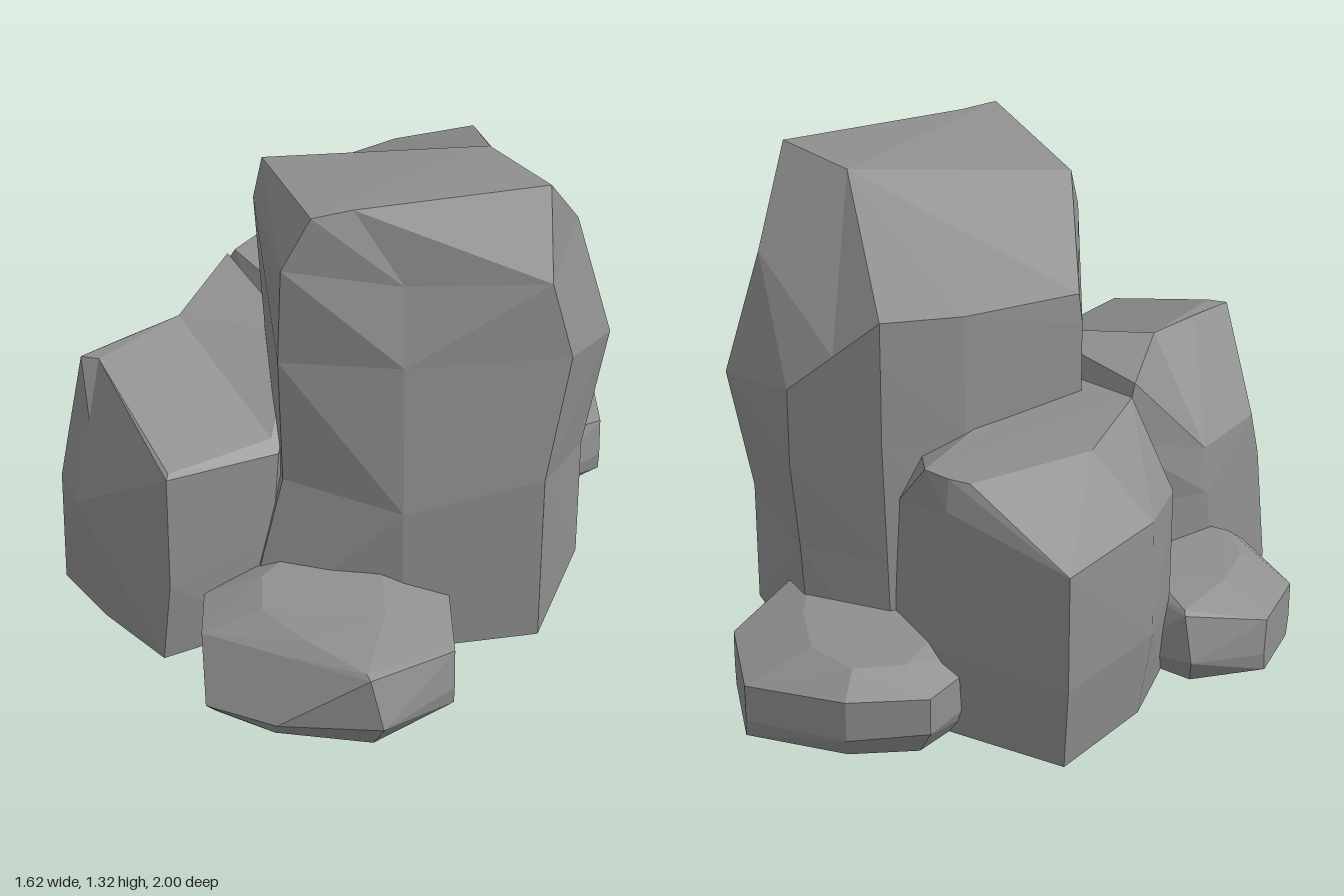
import * as THREE from 'three';

const stone = new THREE.MeshStandardMaterial({ color: 0x8f8f8f, flatShading: true, side: THREE.DoubleSide });

// Faceted rock shell, open underneath, lofted through rings of [x, y, z] corners, bottom ring first.
// Each ring runs from the left (+x) round the front (+z); the crown fans out from one corner.
function rockGeometry(rings, crown = 0) {
  const n = rings[0].length;
  const corners = rings.flat().map((p) => new THREE.Vector3(...p));
  const index = [];
  const plane = new THREE.Plane();
  for (let r = 0; r < rings.length - 1; r++) {
    for (let i = 0; i < n; i++) {
      const j = (i + 1) % n;
      const a0 = r * n + i, b0 = r * n + j, a1 = a0 + n, b1 = b0 + n;
      // Split each quad along the diagonal that bulges outwards
      plane.setFromCoplanarPoints(corners[a0], corners[a1], corners[b1]);
      if (plane.distanceToPoint(corners[b0]) > 0) index.push(a0, a1, b0, a1, b1, b0);
      else index.push(a0, a1, b1, a0, b1, b0);
    }
  }
  const top = (rings.length - 1) * n;
  for (let k = 1; k < n - 1; k++) {
    index.push(top + crown, top + (crown + k + 1) % n, top + (crown + k) % n);
  }
  const g = new THREE.BufferGeometry().setFromPoints(corners);
  g.setIndex(index);
  const flat = g.toNonIndexed();
  flat.computeVertexNormals();
  return flat;
}

// Tall boulder: flat crown at the front, sloping down towards the back
const tallRings = [
  [[.69, 0, .04], [.54, 0, .455], [.155, 0, .52], [-.29, 0, .45], [-.26, 0, .04], [-.2, 0, -.3], [.15, 0, -.46], [.38, 0, -.5], [.59, 0, -.37]],
  [[.69, .37, .04], [.54, .52, .47], [.155, .45, .52], [-.17, .5, .41], [-.21, .42, .04], [-.18, .4, -.31], [.16, .4, -.47], [.39, .4, -.5], [.61, .4, -.37]],
  [[.755, .74, .04], [.605, .88, .425], [.155, .88, .475], [-.18, .88, .43], [-.215, .79, .04], [-.18, .75, -.31], [.17, .75, -.47], [.4, .75, -.505], [.63, .65, -.37]],
  [[.65, 1.1, .04], [.545, 1.1, .42], [.155, 1.1, .425], [-.17, 1.17, .46], [-.24, 1.17, .03], [-.18, .97, -.31], [.17, 1, -.47], [.4, 1, -.51], [.63, .88, -.37]],
  [[.4, 1.32, .04], [.545, 1.32, .28], [.02, 1.32, .41], [-.09, 1.32, .455], [-.215, 1.28, .01], [-.17, 1.06, -.31], [.17, 1.1, -.47], [.4, 1.12, -.51], [.515, 1, -.44]],
];

// Medium boulder on the model's right
const sideRings = [
  [[-.1, 0, .1], [-.23, 0, .4], [-.505, 0, .54], [-.675, 0, .33], [-.8, 0, .13], [-.81, 0, -.02], [-.6, 0, -.22], [-.25, 0, -.3]],
  [[-.1, .3, .1], [-.2, .3, .4], [-.48, .26, .565], [-.745, .385, .33], [-.79, .385, .19], [-.775, .36, -.03], [-.57, .36, -.23], [-.25, .4, -.35]],
  [[-.1, .6, .1], [-.18, .57, .39], [-.48, .6, .565], [-.7, .6, .25], [-.765, .52, .18], [-.745, .5, -.05], [-.56, .5, -.22], [-.28, .62, -.37]],
  [[-.13, .77, .08], [-.2, .6, .36], [-.475, .612, .55], [-.67, .76, .19], [-.72, .757, .17], [-.6, .767, .085], [-.455, .775, -.02], [-.32, .795, -.35]],
];

// Medium boulder at the back
const backRings = [
  [[.36, 0, -.5], [.25, 0, -.1], [-.2, 0, -.1], [-.36, 0, -.56], [-.25, 0, -.75], [0, 0, -.96], [.27, 0, -.74]],
  [[.37, .26, -.5], [.26, .26, -.1], [-.2, .26, -.1], [-.38, .26, -.56], [-.28, .26, -.77], [0, .26, -1], [.29, .26, -.75]],
  [[.36, .57, -.48], [.25, .6, -.15], [-.2, .6, -.12], [-.38, .57, -.56], [-.275, .6, -.76], [0, .605, -1], [.27, .68, -.74]],
  [[.31, .76, -.65], [.05, .76, -.35], [-.17, .76, -.2], [-.3, .78, -.4], [-.13, .775, -.66], [.21, .765, -.755], [.26, .765, -.72]],
];

// Low stone with an undercut foot, used three times
const lowRings = [
  [[.335, 0, .12], [.11, 0, .29], [-.15, 0, .24], [-.31, 0, .14], [-.31, 0, -.13], [-.11, 0, -.29], [.08, 0, -.27], [.335, 0, -.13]],
  [[.335, .06, .135], [.135, .09, .355], [-.145, .06, .29], [-.335, .04, .17], [-.34, .08, -.14], [-.13, .09, -.35], [.09, .08, -.325], [.335, .06, -.15]],
  [[.335, .17, .12], [.1, .235, .335], [-.145, .21, .175], [-.345, .185, .04], [-.34, .19, -.14], [-.13, .2, -.35], [.09, .2, -.325], [.335, .17, -.15]],
  [[.15, .245, .06], [.09, .245, .315], [-.06, .247, .17], [-.18, .245, .02], [-.18, .25, -.13], [-.08, .255, -.26], [.06, .255, -.25], [.15, .25, -.12]],
];

export function createModel() {
  const group = new THREE.Group();
  const add = (name, geometry) => {
    const mesh = new THREE.Mesh(geometry, stone);
    mesh.name = name;
    group.add(mesh);
    return mesh;
  };

  add('tallBoulder', rockGeometry(tallRings));
  add('sideBoulder', rockGeometry(sideRings, 6));
  add('backBoulder', rockGeometry(backRings));

  // Low stones around the foot: name, x, z, turn, width scale, height scale
  const low = rockGeometry(lowRings);
  for (const [name, x, z, turn, width, height] of [
    ['frontLowStone', -.05, .64, 0, 1, 1],
    ['backLeftLowStone', .47, -.525, 0, 1, 1],
    ['backRightLowStone', -.485, -.39, Math.PI - .6, .77, .95],
  ]) {
    const s = add(name, low);
    s.position.set(x, 0, z);
    s.rotation.y = turn;
    s.scale.set(width, height, width);
  }
  return group;
}
